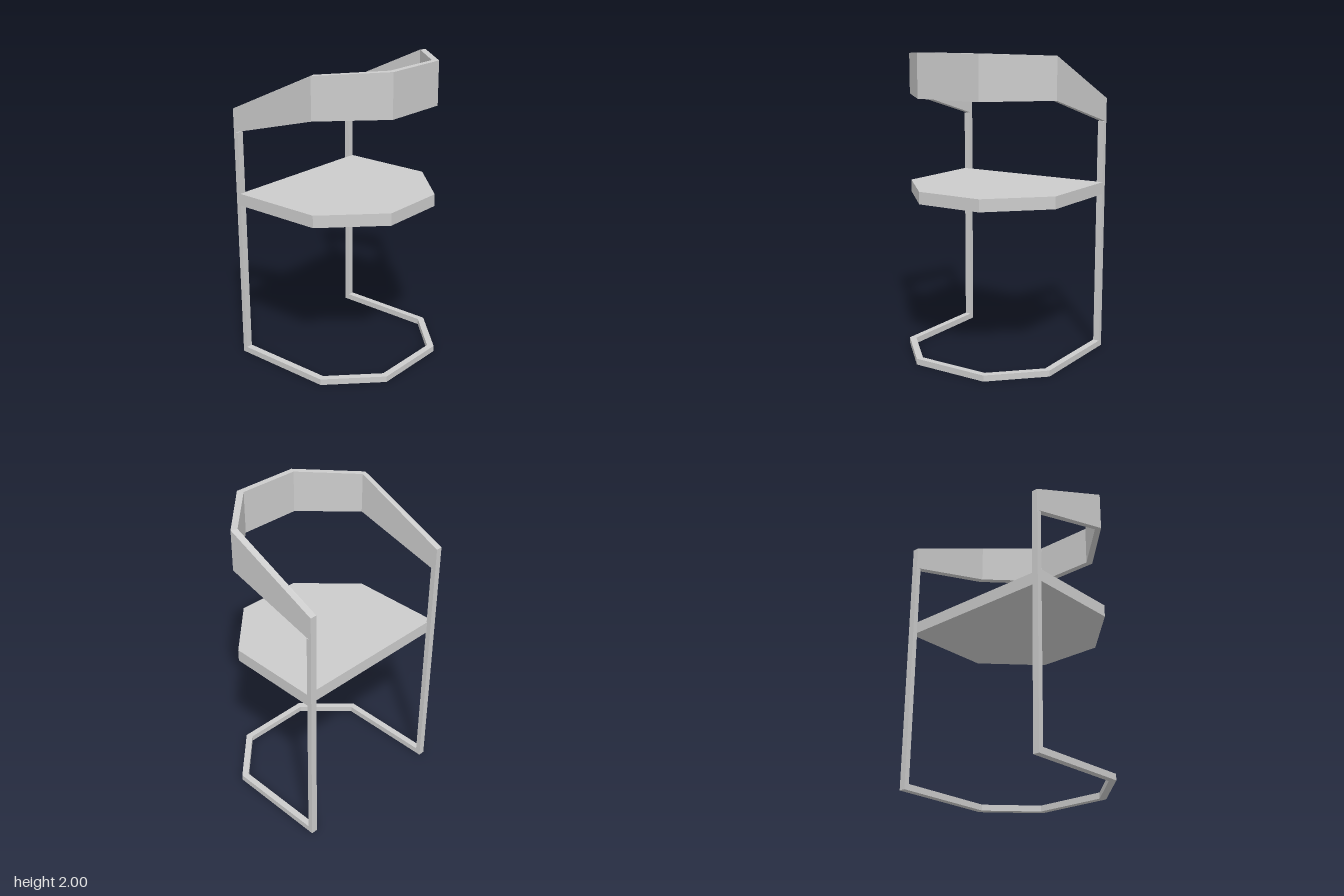
import * as THREE from 'three';

const material = new THREE.MeshStandardMaterial({ color: 0xcccccc, flatShading: true });

// Bar of rectangular section that runs from the left front, round the back, to the right front.
// Each station of the left half: outer [x, z], inner [x, z], bottom y, top y.
function wrapBar(name, half) {
  const section = ({ outer, inner, bottom, top }, side) => [
    [outer[0], bottom, outer[1] * side],
    [outer[0], top, outer[1] * side],
    [inner[0], top, inner[1] * side],
    [inner[0], bottom, inner[1] * side],
  ];
  const sections = [
    ...half.map((s) => section(s, 1)),
    ...[...half].reverse().map((s) => section(s, -1)),
  ];
  const points = [];
  const quad = (a, b, c, d) => points.push(...a, ...b, ...c, ...a, ...c, ...d);
  for (let i = 0; i < sections.length - 1; i++) {
    const s = sections[i], t = sections[i + 1];
    for (let k = 0; k < 4; k++) {
      const n = (k + 1) % 4;
      quad(s[k], t[k], t[n], s[n]);
    }
  }
  quad(...sections[0]);
  quad(...[...sections[sections.length - 1]].reverse());
  const geometry = new THREE.BufferGeometry();
  geometry.setAttribute('position', new THREE.Float32BufferAttribute(points, 3));
  geometry.computeVertexNormals();
  const mesh = new THREE.Mesh(geometry, material);
  mesh.name = name;
  return mesh;
}

export function createModel() {
  const chair = new THREE.Group();
  chair.name = 'chair';

  // Floor frame
  chair.add(wrapBar('baseFrame', [
    { outer: [-0.5, 0.56], inner: [-0.5, 0.517], bottom: 0, top: 0.04 },
    { outer: [0.2, 0.56], inner: [0.183, 0.517], bottom: 0, top: 0.04 },
    { outer: [0.5, 0.262], inner: [0.458, 0.243], bottom: 0, top: 0.04 },
  ]));

  // Armrests sloping up into the backrest
  chair.add(wrapBar('backrest', [
    { outer: [-0.5, 0.56], inner: [-0.5, 0.517], bottom: 1.542, top: 1.695 },
    { outer: [0.155, 0.56], inner: [0.14, 0.52], bottom: 1.72, top: 1.985 },
    { outer: [0.492, 0.227], inner: [0.451, 0.208], bottom: 1.72, top: 2.0 },
  ]));

  // Seat slab
  const outline = [[-0.47, -0.56], [0.155, -0.56], [0.492, -0.227], [0.492, 0.227], [0.155, 0.56], [-0.47, 0.56]];
  const shape = new THREE.Shape(outline.map(([x, z]) => new THREE.Vector2(x, z)));
  const seatGeometry = new THREE.ExtrudeGeometry(shape, { depth: 0.08, bevelEnabled: false });
  seatGeometry.rotateX(Math.PI / 2);
  const seat = new THREE.Mesh(seatGeometry, material);
  seat.name = 'seat';
  seat.position.y = 1.142;
  chair.add(seat);

  // Upright posts
  for (const side of [1, -1]) {
    const post = new THREE.Mesh(new THREE.BoxGeometry(0.034, 1.506, 0.043), material);
    post.name = side > 0 ? 'leftPost' : 'rightPost';
    post.position.set(-0.483, 0.04 + 0.753, side * 0.5385);
    chair.add(post);
  }
  return chair;
}
